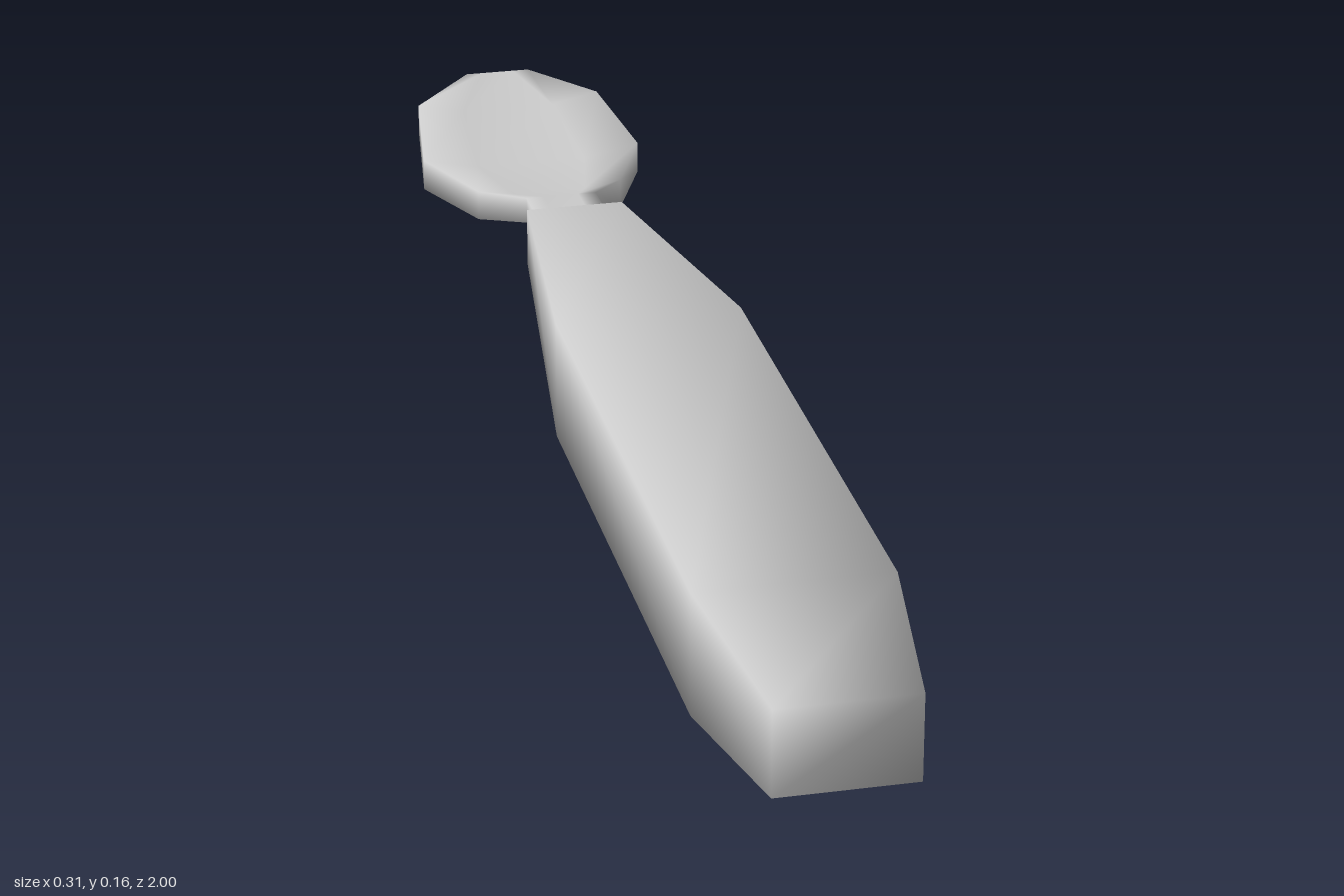
import * as THREE from 'three';

// Skin a row of equal-length rings, listed front to back and each
// counter-clockwise seen from the front, and close both ends.
function loft(name, rings) {
  const n = rings[0].length;
  const last = (rings.length - 1) * n;
  const index = [];
  for (let i = 0; i < rings.length - 1; i++) {
    for (let j = 0; j < n; j++) {
      const a = i * n + j, b = i * n + (j + 1) % n;
      index.push(a, a + n, b, b, a + n, b + n);
    }
  }
  for (let j = 1; j < n - 1; j++) {
    index.push(0, j, j + 1, last, last + j + 1, last + j);
  }
  const geometry = new THREE.BufferGeometry();
  geometry.setAttribute('position', new THREE.Float32BufferAttribute(rings.flat(2), 3));
  geometry.setIndex(index);
  geometry.computeVertexNormals();
  const mesh = new THREE.Mesh(geometry, new THREE.MeshStandardMaterial({ color: 0xcccccc }));
  mesh.name = name;
  return mesh;
}

export function createModel() {
  const group = new THREE.Group();
  group.name = 'spoon';

  // Handle: z, half width, bottom, top
  const handle = [
    [1, 0.085, 0.023, 0.132],
    [0.76, 0.119, 0, 0.155],
    [0.01, 0.119, 0, 0.155],
    [-0.45, 0.065, 0.038, 0.117],
  ].map(([z, w, lo, hi]) => [[w, hi, z], [-w, hi, z], [-w, lo, z], [w, lo, z]]);
  group.add(loft('handle', handle));

  // Neck and bowl: z, half width, bottom, top, depth of the hollow
  const bowl = [
    [-0.43, 0.048, 0.062, 0.098, 0],
    [-0.54, 0.048, 0.06, 0.096, 0],
    [-0.62, 0.1, 0.037, 0.078, 0.008],
    [-0.75, 0.153, 0.034, 0.077, 0.016],
    [-0.92, 0.13, 0.048, 0.092, 0.014],
    [-1, 0.045, 0.062, 0.103, 0],
  ].map(([z, w, lo, hi, dip]) => [
    [w, hi, z], [w * 0.5, hi - dip, z], [-w * 0.5, hi - dip, z], [-w, hi, z],
    [-w, lo, z], [-w * 0.5, lo - dip * 0.25, z], [w * 0.5, lo - dip * 0.25, z], [w, lo, z],
  ]);
  group.add(loft('neckAndBowl', bowl));

  return group;
}
